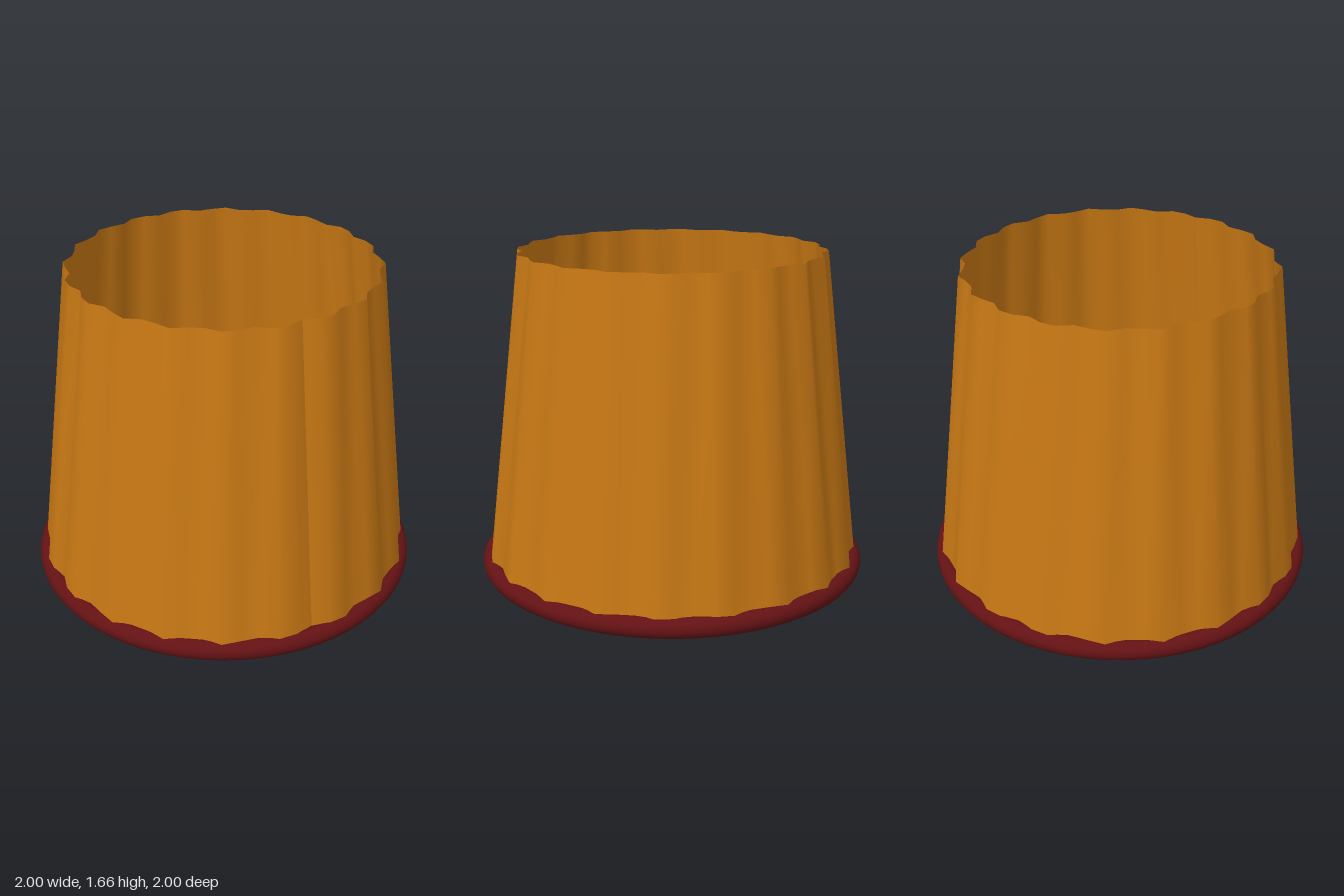
import * as THREE from 'three';

export function createModel() {
  const group = new THREE.Group();
  const bottom = 0.05, top = 1.665, height = top - bottom;

  // Open tapered wall with twenty shallow flutes
  const wallGeometry = new THREE.CylinderGeometry(0.766, 0.956, height, 64, 1, true);
  const pos = wallGeometry.attributes.position;
  for (let i = 0; i < pos.count; i++) {
    const x = pos.getX(i), z = pos.getZ(i);
    const r = Math.hypot(x, z);
    const k = (r - 0.02 * Math.cos(20 * Math.atan2(x, z))) / r;
    pos.setX(i, x * k);
    pos.setZ(i, z * k);
  }
  wallGeometry.computeVertexNormals();
  const wall = new THREE.Mesh(
    wallGeometry,
    new THREE.MeshStandardMaterial({ color: 0xc87814, side: THREE.DoubleSide })
  );
  wall.name = 'flutedWall';
  wall.position.y = bottom + height / 2;
  group.add(wall);

  // Rounded ring around the lower edge
  const ring = new THREE.Mesh(
    new THREE.TorusGeometry(0.95, 0.05, 16, 64),
    new THREE.MeshStandardMaterial({ color: 0x641214 })
  );
  ring.name = 'bottomRing';
  ring.rotation.x = Math.PI / 2;
  ring.position.y = 0.05;
  group.add(ring);

  return group;
}
